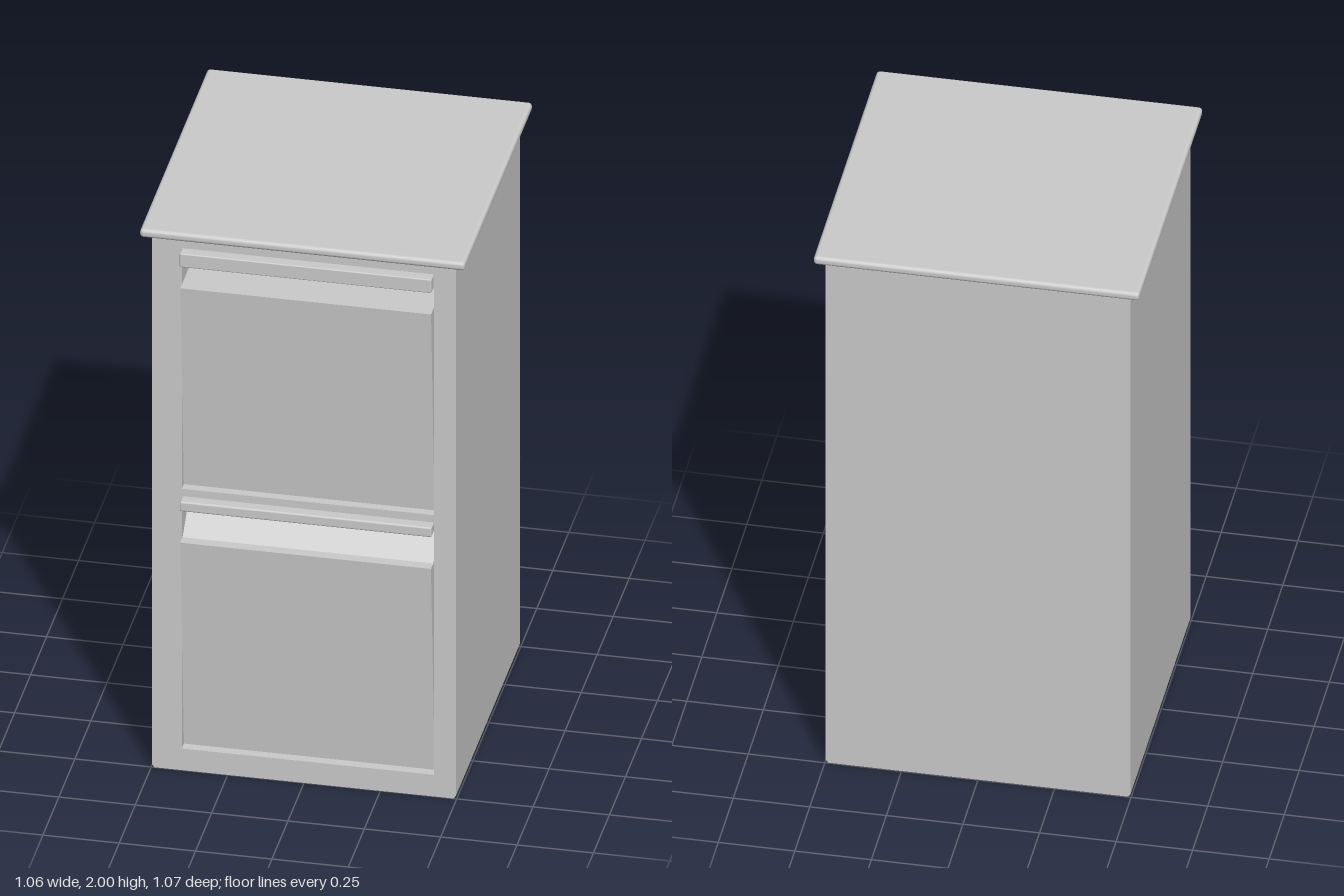
import * as THREE from 'three';
import { RoundedBoxGeometry } from 'three/addons/geometries/RoundedBoxGeometry.js';

const X0 = -0.4, X1 = 0.425; // drawer opening, left to right edge
const material = new THREE.MeshStandardMaterial({ color: 0xcccccc });

export function createModel() {
  const cabinet = new THREE.Group();
  cabinet.name = 'cabinet';

  const add = (name, geometry, x = 0, y = 0, z = 0) => {
    const mesh = new THREE.Mesh(geometry, material);
    mesh.name = name;
    mesh.position.set(x, y, z);
    cabinet.add(mesh);
  };
  const polygon = pts => pts.map(p => new THREE.Vector2(...p));

  // Front outline of the body, with small chamfers at the bottom corners
  const outline = () => new THREE.Shape(polygon([
    [-0.49, 0], [0.49, 0], [0.498, 0.012], [0.498, 1.975], [-0.498, 1.975], [-0.498, 0.012],
  ]));
  const extrude = (shape, depth) =>
    new THREE.ExtrudeGeometry(shape, { depth, bevelEnabled: false });

  // Body: solid rear part and a front frame with two drawer openings
  add('body', extrude(outline(), 0.86), 0, 0, -0.498);
  const frame = outline();
  for (const [y0, y1] of [[0.08, 0.98], [1.04, 1.89]]) {
    frame.holes.push(new THREE.Path(polygon([[X0, y0], [X0, y1], [X1, y1], [X1, y0]])));
  }
  add('frontFrame', extrude(frame, 0.138), 0, 0, 0.362);

  // Overhanging top with rounded edges
  add('top', new RoundedBoxGeometry(1.064, 0.03, 1.064, 3, 0.012), 0, 1.985, 0);

  // Tilted drawer fronts: side profile (z, y) swept across the opening
  const drawerFront = (name, profile) => {
    const geometry = extrude(new THREE.Shape(polygon(profile)), X1 - X0 - 0.004);
    geometry.rotateY(-Math.PI / 2);
    add(name, geometry, X1 - 0.002);
  };
  drawerFront('upperDrawerFront', [
    [0.365, 1.045], [0.478, 1.045], [0.533, 1.80], [0.365, 1.80],
  ]);
  drawerFront('lowerDrawerFront', [
    [0.365, 0.085], [0.476, 0.085], [0.534, 0.86], [0.498, 0.86], [0.365, 0.975],
  ]);

  // Pull bars above the drawers
  const width = X1 - X0, middle = (X0 + X1) / 2;
  add('upperPullBar', new RoundedBoxGeometry(width, 0.05, 0.045, 2, 0.004), middle, 1.905, 0.515);
  add('lowerPullBar', new RoundedBoxGeometry(width, 0.036, 0.045, 2, 0.006), middle, 0.995, 0.515);

  // Small catch plate beside the upper bar
  add('catchPlate', new THREE.BoxGeometry(0.06, 0.09, 0.01), 0.455, 1.925, 0.496);

  return cabinet;
}
